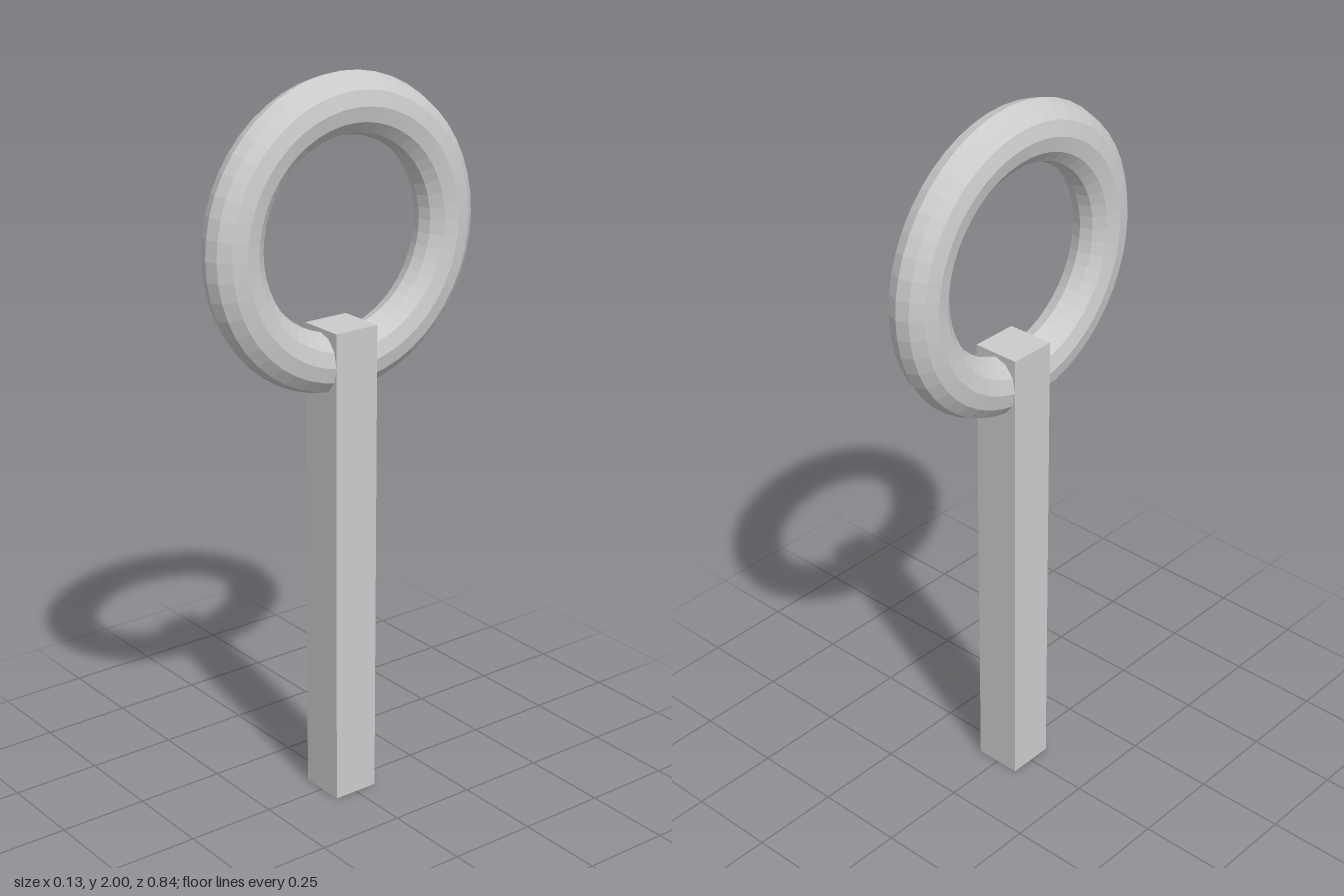
import * as THREE from 'three';

export function createModel() {
  const model = new THREE.Group();
  const material = new THREE.MeshStandardMaterial({ color: 0xcccccc, flatShading: true });

  // Square post standing on the ground
  const postWidth = 0.133, postHeight = 1.345;
  const post = new THREE.Mesh(new THREE.BoxGeometry(postWidth, postHeight, postWidth), material);
  post.name = 'post';
  post.position.y = postHeight / 2;
  model.add(post);

  // Upright ring, slightly flattened sideways, sunk into the post's top
  const ringRadius = 0.337, tubeRadius = 0.081;
  const ringGeometry = new THREE.TorusGeometry(ringRadius, tubeRadius, 12, 48);
  ringGeometry.scale(1, 1, postWidth / 2 / tubeRadius);
  ringGeometry.rotateY(Math.PI / 2);
  const ring = new THREE.Mesh(ringGeometry, material);
  ring.name = 'ring';
  ring.position.y = 2 - ringRadius - tubeRadius;
  model.add(ring);

  return model;
}
